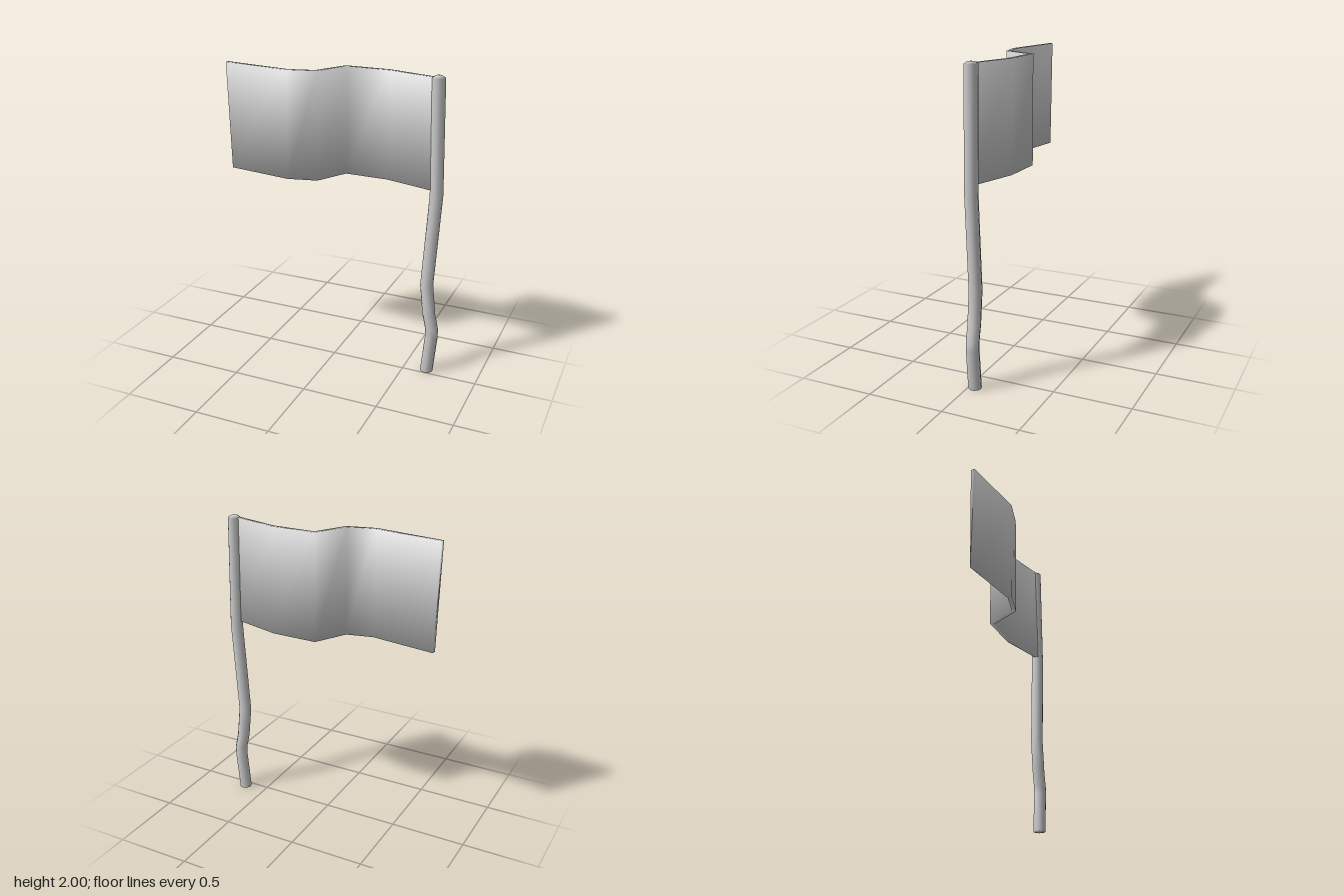
import * as THREE from 'three';
import { mergeVertices } from 'three/addons/utils/BufferGeometryUtils.js';

const material = new THREE.MeshStandardMaterial({ color: 0xcccccc });

// Weld corners so that the whole surface shades smoothly
function weld(geometry) {
  geometry.deleteAttribute('uv');
  geometry.deleteAttribute('normal');
  const welded = mergeVertices(geometry, 1e-4);
  welded.computeVertexNormals();
  return welded;
}

// Crooked pole: a lathe whose rings are shifted sideways
function createPole() {
  const radius = 0.042;
  const bends = [[0, 0.655], [0.26, 0.679], [0.32, 0.678], [0.42, 0.655], [0.63, 0.632], [1.25, 0.67], [1.985, 0.652]];
  const profile = [new THREE.Vector2(0, 0)];
  for (const [y] of bends) profile.push(new THREE.Vector2(radius, y));
  profile.push(new THREE.Vector2(0.022, 1.998), new THREE.Vector2(0, 2));
  const geometry = new THREE.LatheGeometry(profile, 10);
  const p = geometry.attributes.position;
  for (let i = 0; i < p.count; i++) {
    const y = p.getY(i);
    const bend = bends.find((b) => Math.abs(b[0] - y) < 1e-4) ?? bends[bends.length - 1];
    p.setX(i, p.getX(i) + bend[1]);
    p.setZ(i, p.getZ(i) - 0.041);
  }
  const pole = new THREE.Mesh(weld(geometry), material);
  pole.name = 'pole';
  return pole;
}

// Waving cloth: a thin box folded along a zigzag line seen from above
function createCloth() {
  const fold = [[-0.715, 0.054], [-0.27, 0.121], [-0.09, 0.078], [0.025, -0.126], [0.32, -0.122], [0.645, -0.032]]
    .map(([x, z]) => new THREE.Vector2(x, z));
  const half = 0.0135, bottom = 1.285, top = 1.988;
  const last = fold.length - 1;
  const across = (a, b) => new THREE.Vector2(a.y - b.y, b.x - a.x).normalize();
  // Mitred offsets keep the thickness even at each fold
  const offsets = fold.map((point, i) => {
    const before = across(fold[Math.max(i - 1, 0)], fold[Math.max(i, 1)]);
    const after = across(fold[Math.min(i, last - 1)], fold[Math.min(i + 1, last)]);
    const mitre = before.clone().add(after).normalize();
    return mitre.multiplyScalar(half / mitre.dot(after));
  });
  let geometry = new THREE.BoxGeometry(last, 2, 2, last, 1, 1);
  const p = geometry.attributes.position;
  for (let i = 0; i < p.count; i++) {
    const k = Math.round(p.getX(i) + last / 2);
    const side = Math.sign(p.getZ(i));
    const up = Math.sign(p.getY(i));
    const lean = k === 0 ? -0.009 * up : 0;
    p.setXYZ(i, fold[k].x + side * offsets[k].x + lean, up > 0 ? top : bottom, fold[k].y + side * offsets[k].y);
  }
  geometry = weld(geometry);
  // Tilt the normals at the hems for soft shading over the edge
  const n = geometry.attributes.normal;
  const normal = new THREE.Vector3();
  for (let i = 0; i < n.count; i++) {
    normal.fromBufferAttribute(n, i);
    normal.y = geometry.attributes.position.getY(i) > 1.6 ? 0.6 : -0.6;
    normal.normalize();
    n.setXYZ(i, normal.x, normal.y, normal.z);
  }
  const cloth = new THREE.Mesh(geometry, material);
  cloth.name = 'cloth';
  return cloth;
}

export function createModel() {
  const flag = new THREE.Group();
  flag.name = 'flag';
  flag.add(createPole(), createCloth());
  return flag;
}
